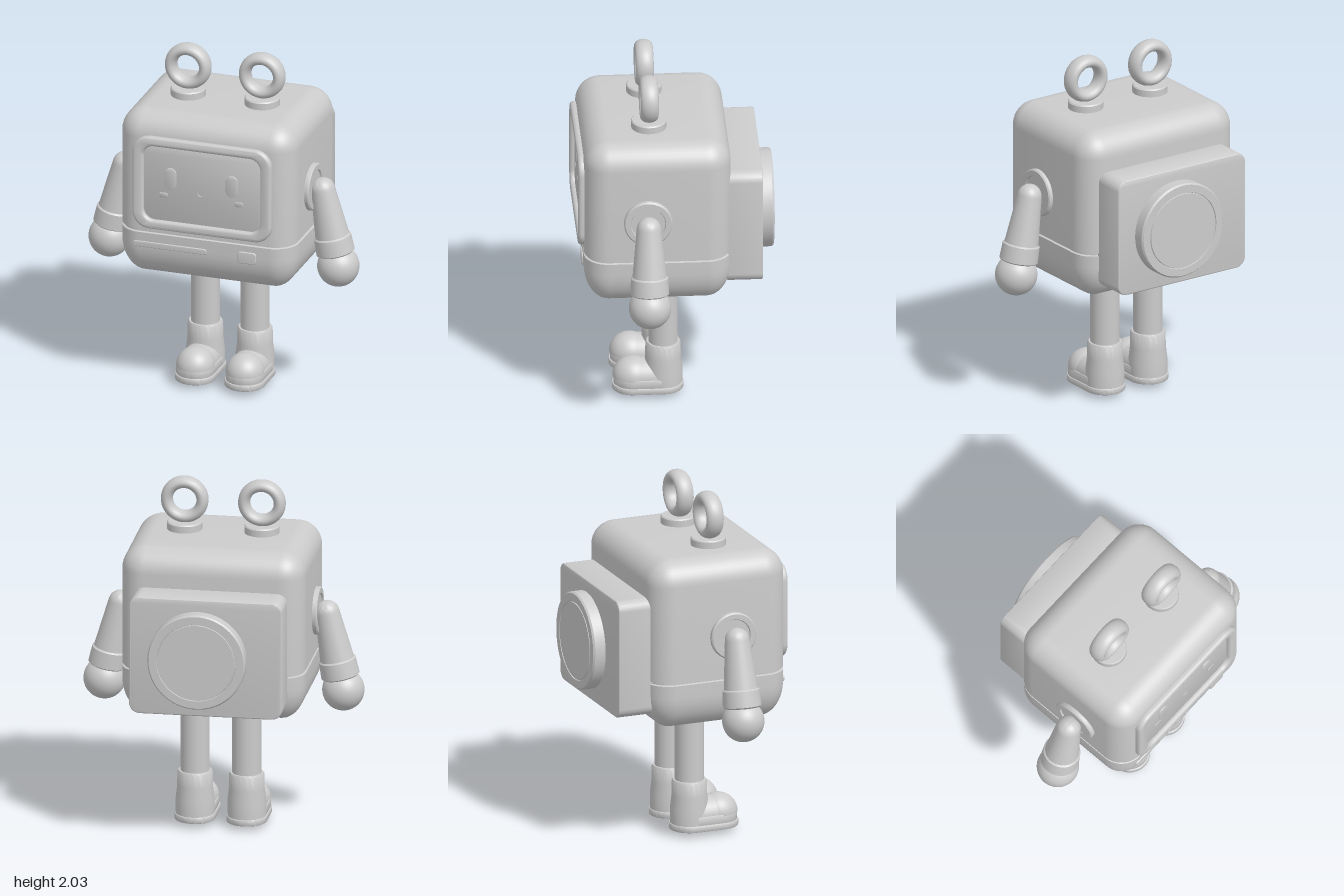
import * as THREE from 'three';
import { toCreasedNormals } from 'three/addons/utils/BufferGeometryUtils.js';

const grey = new THREE.MeshStandardMaterial({ color: 0xcccccc });

function add(parent, name, geometry, x = 0, y = 0, z = 0) {
  const mesh = new THREE.Mesh(geometry, grey);
  mesh.name = name;
  mesh.position.set(x, y, z);
  parent.add(mesh);
  return mesh;
}

// Rounded rectangle centred on the origin
function roundRect(w, h, r, Type = THREE.Shape) {
  const s = new Type(), x = w / 2 - r, y = h / 2 - r;
  s.absarc(x, y, r, 0, Math.PI / 2);
  s.absarc(-x, y, r, Math.PI / 2, Math.PI);
  s.absarc(-x, -y, r, Math.PI, Math.PI * 1.5);
  s.absarc(x, -y, r, Math.PI * 1.5, Math.PI * 2);
  s.closePath();
  return s;
}

// Plate of a given depth with rounded edges, starting at z = 0
function plate(shape, depth, bevel) {
  const g = new THREE.ExtrudeGeometry(shape, {
    depth: depth - 2 * bevel, bevelThickness: bevel, bevelSize: bevel,
    bevelOffset: -bevel, bevelSegments: 4, curveSegments: 10,
  });
  g.translate(0, 0, bevel);
  return toCreasedNormals(g, 0.6);
}

function lathe(points, segments = 40) {
  const g = new THREE.LatheGeometry(points.map(p => new THREE.Vector2(...p)), segments);
  return toCreasedNormals(g, 0.6);
}

// Stack of rounded rectangles, each [y, inset]
function loft(halfX, halfZ, r, rings) {
  const pos = [], index = [], steps = 10, n = 4 * (steps + 1);
  for (const [y, inset] of rings) {
    const rad = Math.max(r - inset, 0.001);
    for (let c = 0; c < 4; c++) {
      const sx = c === 0 || c === 3 ? 1 : -1, sz = c < 2 ? 1 : -1;
      for (let i = 0; i <= steps; i++) {
        const a = (c + i / steps) * Math.PI / 2;
        pos.push(sx * (halfX - inset - rad) + rad * Math.cos(a), y,
          sz * (halfZ - inset - rad) + rad * Math.sin(a));
      }
    }
  }
  for (let k = 0; k < rings.length - 1; k++) {
    for (let i = 0; i < n; i++) {
      const a = k * n + i, b = k * n + (i + 1) % n;
      index.push(a, a + n, b, b, a + n, b + n);
    }
  }
  const last = rings.length - 1, mid = pos.length / 3;
  pos.push(0, rings[0][0], 0, 0, rings[last][0], 0);
  for (let i = 0; i < n; i++) {
    const j = (i + 1) % n;
    index.push(mid, i, j, mid + 1, last * n + j, last * n + i);
  }
  const g = new THREE.BufferGeometry();
  g.setAttribute('position', new THREE.Float32BufferAttribute(pos, 3));
  g.setIndex(index);
  return toCreasedNormals(g, 0.6);
}

function makeBody(robot) {
  const R = 0.14, rings = [];
  for (let i = 0; i <= 10; i++) {
    const a = i / 10 * Math.PI / 2;
    rings.push([0.9 - 0.2 * Math.cos(a), R * (1 - Math.sin(a))]);
  }
  // seam groove
  rings.push([0.972, 0], [0.976, 0.012], [0.986, 0.012], [0.99, 0]);
  for (let i = 0; i <= 10; i++) {
    const a = i / 10 * Math.PI / 2;
    rings.push([1.69 - R + R * Math.sin(a), R * (1 - Math.cos(a))]);
  }
  add(robot, 'body', loft(0.525, 0.415, R, rings), 0, 0, 0.06);
}

function makeFace(robot) {
  const frame = roundRect(0.83, 0.56, 0.1);
  frame.holes.push(roundRect(0.70, 0.45, 0.065, THREE.Path));
  add(robot, 'screenFrame', plate(frame, 0.055, 0.018), -0.004, 1.29, 0.452);
  add(robot, 'screen', plate(roundRect(0.72, 0.47, 0.07), 0.02, 0.002), -0.004, 1.285, 0.46);
  for (const s of [-1, 1]) {
    add(robot, 'eye', plate(roundRect(0.07, 0.13, 0.034), 0.012, 0.002), s * 0.183 - 0.012, 1.325, 0.474);
    add(robot, 'cheek', plate(roundRect(0.055, 0.03, 0.0149), 0.007, 0.001), s * 0.225 - 0.012, 1.22, 0.476);
  }
  const mouth = add(robot, 'mouth', new THREE.TorusGeometry(0.022, 0.004, 6, 14, Math.PI), -0.012, 1.26, 0.481);
  mouth.rotation.z = Math.PI;
  // details on the lower front
  add(robot, 'slot', plate(roundRect(0.44, 0.034, 0.016), 0.03, 0.004), -0.2, 0.903, 0.452);
  add(robot, 'frontButton', plate(roundRect(0.11, 0.07, 0.018), 0.03, 0.005), 0.26, 0.9, 0.454);
}

function makeBackpack(robot) {
  add(robot, 'backpack', plate(roundRect(0.875, 0.69, 0.06), 0.205, 0.008), 0, 1.13, -0.537);
  const lens = add(robot, 'lens', lathe([
    [0, 0], [0.28, 0], [0.28, 0.065], [0.272, 0.075], [0.228, 0.075],
    [0.226, 0.069], [0.222, 0.069], [0.22, 0.075], [0, 0.075],
  ], 64), 0.042, 1.125, -0.535);
  lens.rotation.x = -Math.PI / 2;
  const button = add(robot, 'backpackButton', plate(roundRect(0.09, 0.27, 0.015), 0.05, 0.008), -0.415, 1.16, -0.435);
  button.rotation.y = Math.PI / 2;
}

function makeRing(robot, side) {
  const x = side * 0.221, z = 0.097;
  add(robot, 'ringBase', lathe([[0.1, 0], [0.1, 0.045], [0.094, 0.052], [0, 0.052]]), x, 1.683, z);
  const ring = add(robot, 'ring', new THREE.TorusGeometry(0.102, 0.034, 20, 48), x, 1.864, z);
  ring.scale.z = 1.5;
}

function makeArm(robot, side) {
  const arm = new THREE.Group();
  arm.name = side > 0 ? 'leftArm' : 'rightArm';
  robot.add(arm);
  const disc = add(arm, 'shoulderDisc', lathe([
    [0.137, -0.06], [0.137, 0.02], [0.13, 0.027], [0.1, 0.027], [0.096, 0.018], [0, 0.018],
  ]), side * 0.525, 1.235, 0.12);
  disc.rotation.z = -side * Math.PI / 2;
  // sleeve from the hand up to a domed shoulder
  const profile = [[0, 0.075], [0.1, 0.075], [0.11, 0.083], [0.106, 0.175], [0.1, 0.181], [0.097, 0.183]];
  for (let i = 0; i <= 8; i++) {
    const a = i / 8 * Math.PI / 2;
    profile.push([0.07 * Math.cos(a), 0.46 + 0.07 * Math.sin(a)]);
  }
  const sleeve = add(arm, 'sleeve', lathe(profile), side * 0.683, 0.775, 0.12);
  sleeve.rotation.z = side * 0.2;
  add(arm, 'hand', new THREE.SphereGeometry(0.12, 36, 24), side * 0.683, 0.773, 0.12);
}

function makeLeg(robot, side) {
  const leg = new THREE.Group();
  leg.name = side > 0 ? 'leftLeg' : 'rightLeg';
  leg.position.set(side * 0.148, 0, 0.012);
  robot.add(leg);
  add(leg, 'shin', new THREE.CylinderGeometry(0.083, 0.083, 0.55, 32), 0, 0.5, 0);
  add(leg, 'bootShaft', lathe([[0.11, 0.03], [0.11, 0.12], [0.101, 0.2], [0.1, 0.28], [0.094, 0.29], [0, 0.29]]));
  const sole = add(leg, 'sole', plate(roundRect(0.23, 0.405, 0.1149), 0.036, 0.004), 0, 0, 0.087);
  sole.rotation.x = -Math.PI / 2;
  const upper = add(leg, 'bootSide', plate(roundRect(0.218, 0.39, 0.1089), 0.06, 0.002), 0, 0.025, 0.086);
  upper.rotation.x = -Math.PI / 2;
  const top = add(leg, 'bootTop', new THREE.CapsuleGeometry(0.105, 0.17, 12, 32), 0, 0.075, 0.085);
  top.rotation.x = Math.PI / 2;
  // toe cap, a little proud of the boot
  const cap = add(leg, 'toeCap', new THREE.SphereGeometry(0.11, 32, 16, 0, Math.PI * 2, 0, Math.PI / 2), 0, 0.078, 0.172);
  cap.scale.z = 1.04;
}

export function createModel() {
  const model = new THREE.Group();
  model.name = 'robot';
  const robot = new THREE.Group();
  robot.name = 'robotParts';
  robot.position.x = 0.046;
  // the whole figure is turned about the vertical axis
  model.rotation.y = THREE.MathUtils.degToRad(-22);
  model.add(robot);

  makeBody(robot);
  makeFace(robot);
  makeBackpack(robot);
  for (const side of [-1, 1]) {
    makeRing(robot, side);
    makeArm(robot, side);
    makeLeg(robot, side);
  }
  return model;
}
